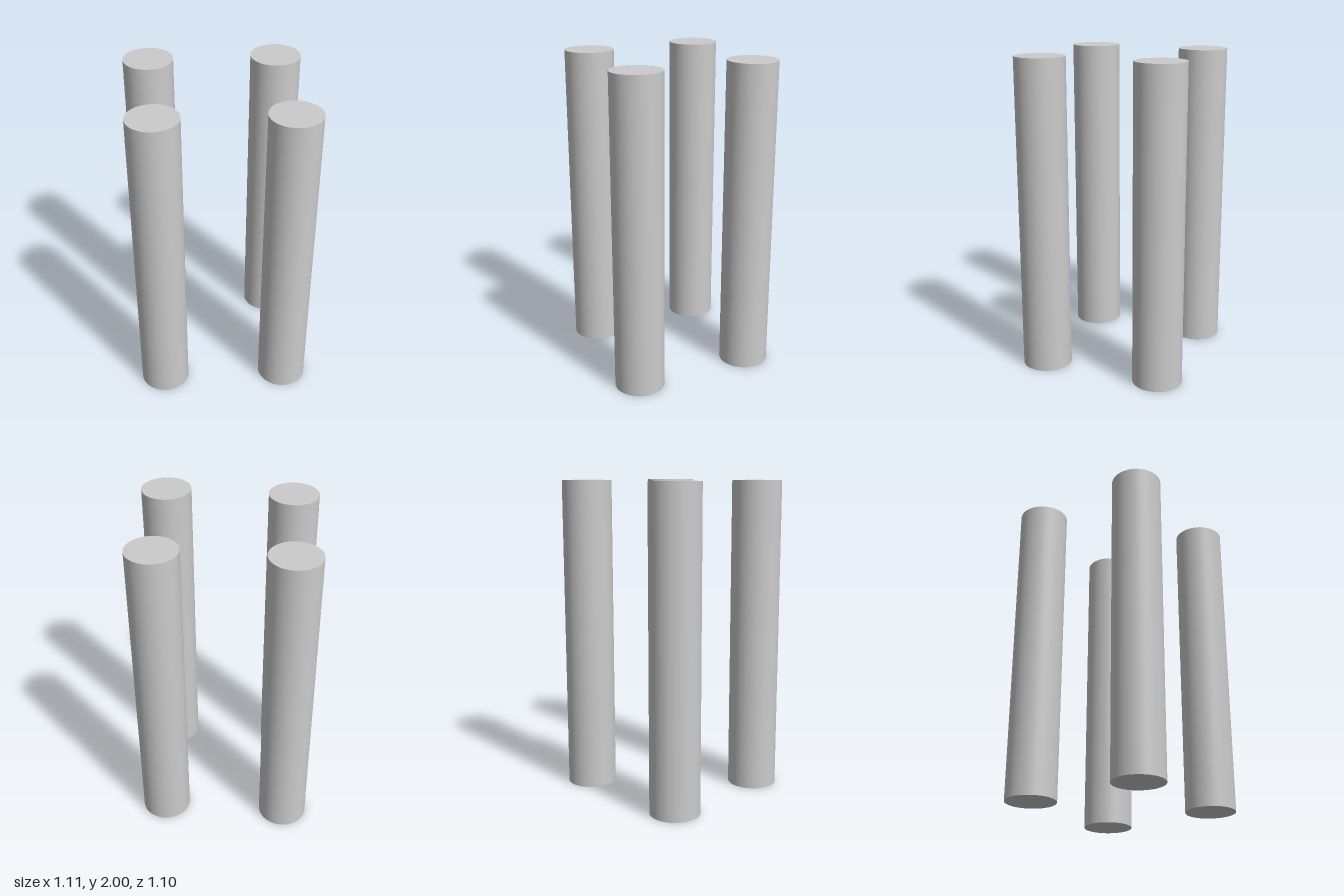
import * as THREE from 'three';

const RADIUS = 0.157;
const HEIGHT = 2;

// Column centres on the ground: name, x, z
const COLUMNS = [
  ['backRightColumn', -0.398, -0.393],
  ['backLeftColumn', 0.398, -0.371],
  ['frontRightColumn', -0.398, 0.358],
  ['frontLeftColumn', 0.398, 0.392],
];

export function createModel() {
  const model = new THREE.Group();
  model.name = 'fourColumns';
  const material = new THREE.MeshStandardMaterial({ color: 0xcccccc });

  // Plain round column, capped at both ends and standing on the ground
  const geometry = new THREE.CylinderGeometry(RADIUS, RADIUS, HEIGHT, 64);
  geometry.translate(0, HEIGHT / 2, 0);

  for (const [name, x, z] of COLUMNS) {
    const column = new THREE.Mesh(geometry, material);
    column.name = name;
    column.position.set(x, 0, z);
    model.add(column);
  }
  return model;
}
